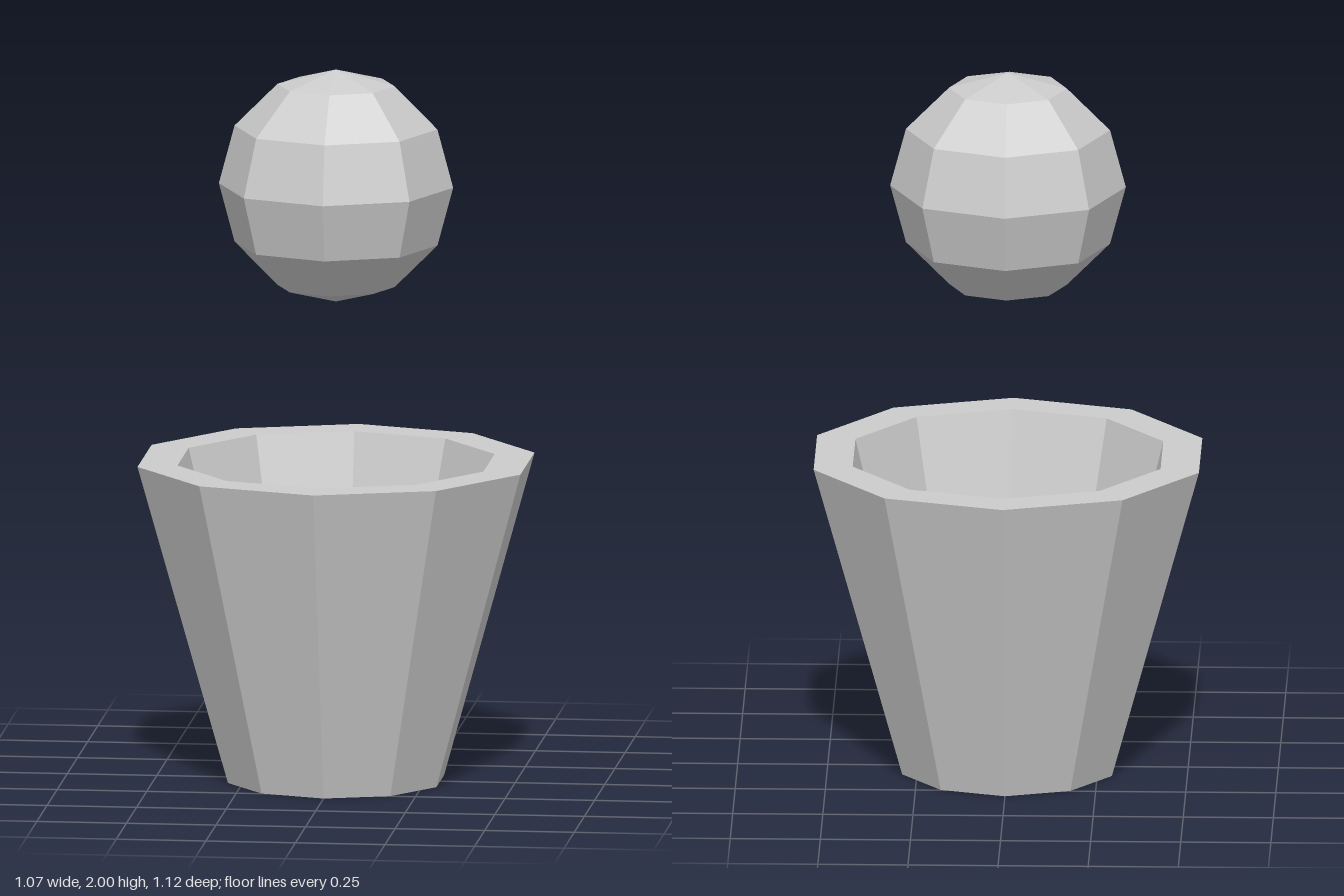
import * as THREE from 'three';

export function createModel() {
  const model = new THREE.Group();
  const material = new THREE.MeshStandardMaterial({ color: 0xcccccc, flatShading: true });

  // Hollow ten-sided tapered cup: base, outer wall, rim, inner wall, inner floor
  const profile = [
    [0, 0], [0.306, 0], [0.562, 0.9], [0.449, 0.9], [0.25, 0.1], [0, 0.1],
  ].map(([r, y]) => new THREE.Vector2(r, y));
  const cup = new THREE.Mesh(new THREE.LatheGeometry(profile, 10), material);
  cup.name = 'cup';
  model.add(cup);

  // Faceted ball floating above the cup
  const ball = new THREE.Mesh(new THREE.SphereGeometry(0.327, 8, 6), material);
  ball.name = 'ball';
  ball.position.y = 1.673;
  model.add(ball);

  return model;
}
